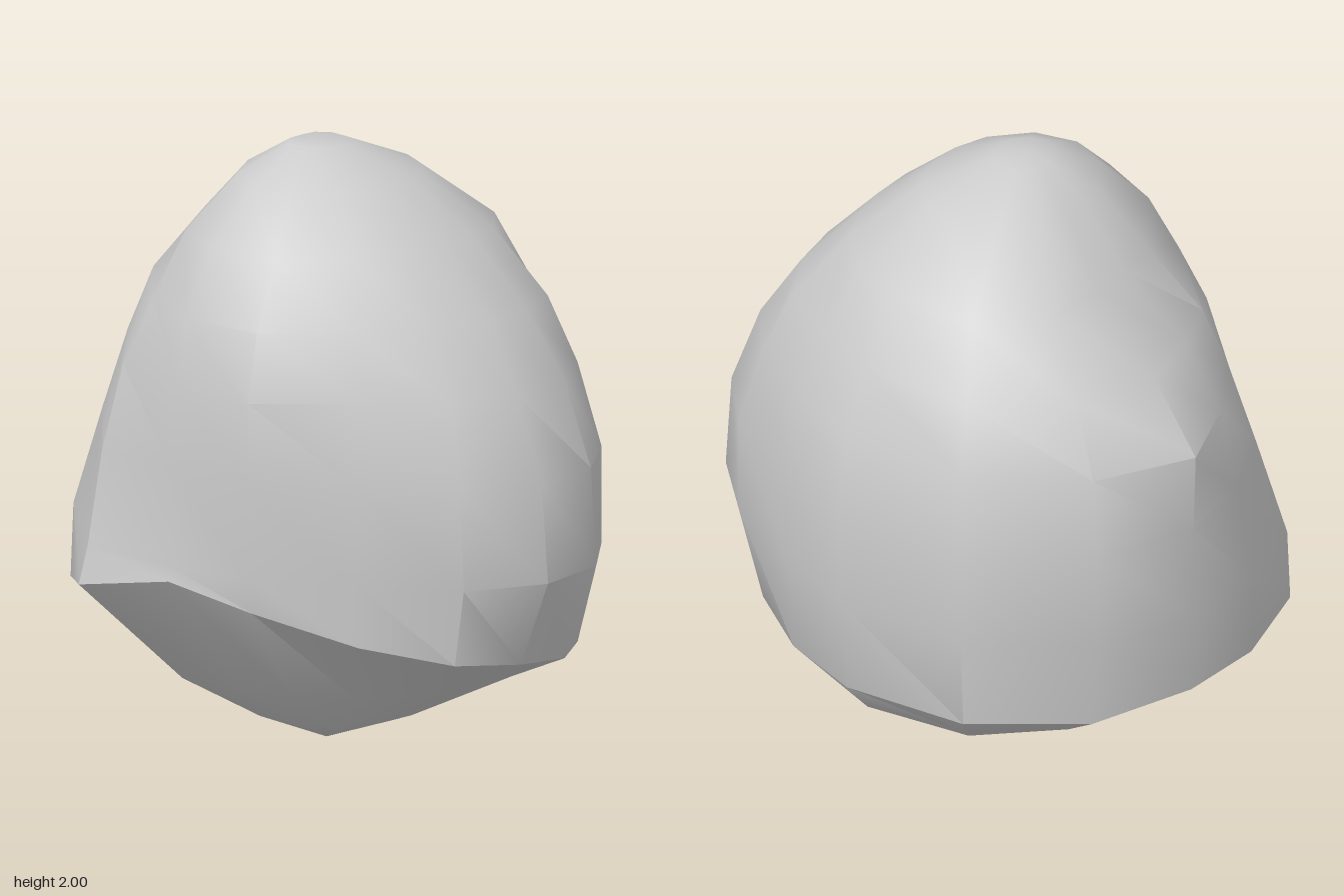
import * as THREE from 'three';
import { mergeVertices, toCreasedNormals } from 'three/addons/utils/BufferGeometryUtils.js';

// directions, in degrees from +x towards +z, of the boulder's main corners
const ANGLES = [4, 22, 45, 73, 98, 123, 157, 175, 194, 217, 246, 280, 305, 329, 347];

// height of the wavy lower rim, above the undercut, along each direction
const RIM = [0.37, 0.4, 0.46, 0.56, 0.62, 0.54, 0.42, 0.38, 0.38, 0.34, 0.33, 0.32, 0.32, 0.33, 0.34];

// sections from bottom to top: height, radius along each direction
const SECTIONS = [
  { y: 0.2, r: [0.45, 0.43, 0.41, 0.43, 0.46, 0.57, 0.7, 0.66, 0.65, 0.66, 0.66, 0.63, 0.6, 0.54, 0.47] },
  { y: RIM, r: [0.82, 0.81, 0.73, 0.74, 0.77, 0.92, 0.98, 0.94, 0.92, 0.87, 0.8, 0.73, 0.72, 0.76, 0.81] },
  { y: 0.67, r: [0.95, 0.88, 0.74, 0.75, 0.76, 0.89, 0.97, 0.94, 0.96, 0.92, 0.85, 0.77, 0.75, 0.84, 0.93] },
  { y: 1, r: [0.92, 0.85, 0.74, 0.77, 0.76, 0.84, 0.87, 0.89, 0.93, 0.93, 0.85, 0.78, 0.75, 0.84, 0.91] },
  { y: 1.28, r: [0.8, 0.77, 0.7, 0.77, 0.74, 0.77, 0.78, 0.83, 0.94, 0.88, 0.8, 0.73, 0.7, 0.76, 0.81] },
  { y: 1.5, r: [0.67, 0.65, 0.63, 0.7, 0.69, 0.67, 0.69, 0.7, 0.75, 0.74, 0.71, 0.63, 0.6, 0.66, 0.67] },
  { y: 1.72, r: [0.47, 0.49, 0.52, 0.57, 0.59, 0.56, 0.51, 0.47, 0.48, 0.54, 0.54, 0.49, 0.48, 0.48, 0.47] },
];

const BOTTOM = new THREE.Vector3(0.03, 0, 0.15);
const CROWN = new THREE.Vector3(-0.06, 2, 0.12);

// a section's corners in space
const sectionRing = ({ y, r }) => ANGLES.map((deg, i) => {
  const a = THREE.MathUtils.degToRad(deg);
  return new THREE.Vector3(Math.cos(a) * r[i], y === RIM ? RIM[i] : y, Math.sin(a) * r[i]);
});

// a ring drawn in towards an end point, at its own height
const shrunkRing = (ring, end, scale, y) => ring.map((p) => end.clone().lerp(p, scale).setY(y));

// loft the rings into one closed skin
function boulderGeometry() {
  const body = SECTIONS.map(sectionRing);
  const shoulder = body[body.length - 1];
  const rings = [
    shrunkRing(body[0], BOTTOM, 0.46, 0.07),
    ...body,
    shrunkRing(shoulder, CROWN, 0.6, 1.9),
    shrunkRing(shoulder, CROWN, 0.2, 2),
  ];
  const points = [BOTTOM, ...rings.flat(), CROWN];
  const n = ANGLES.length;
  const last = rings.length - 1;
  const id = (ring, i) => 1 + ring * n + (i % n);
  const index = [];
  for (let i = 0; i < n; i++) {
    index.push(0, id(0, i), id(0, i + 1));
    for (let k = 0; k < last; k++) {
      index.push(id(k, i), id(k + 1, i), id(k + 1, i + 1));
      index.push(id(k, i), id(k + 1, i + 1), id(k, i + 1));
    }
    index.push(points.length - 1, id(last, i + 1), id(last, i));
  }
  const geometry = new THREE.BufferGeometry().setFromPoints(points);
  geometry.setIndex(index);
  return toCreasedNormals(mergeVertices(geometry), THREE.MathUtils.degToRad(38));
}

export function createModel() {
  const stone = new THREE.MeshStandardMaterial({ color: 0xcccccc });
  stone.name = 'stone grey';
  const boulder = new THREE.Mesh(boulderGeometry(), stone);
  boulder.name = 'boulder';
  const group = new THREE.Group();
  group.name = 'rock';
  group.add(boulder);
  return group;
}
